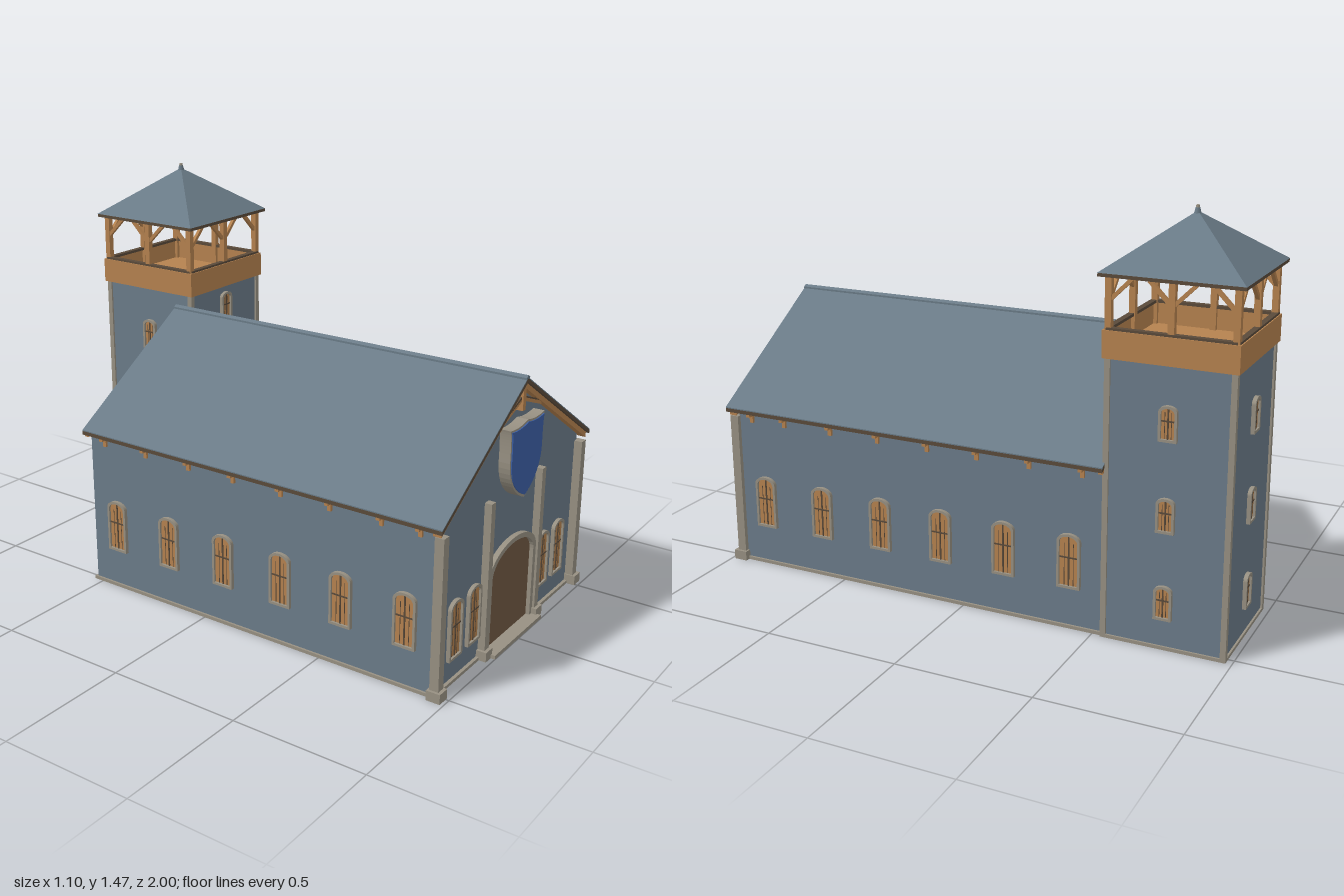
import * as THREE from 'three';

const mat = (name, color, side = THREE.FrontSide) => {
  const m = new THREE.MeshStandardMaterial({ color, side });
  m.name = name;
  return m;
};

export function createModel() {
  const wall = mat('blue grey plaster', 0x6b7b89);
  const slate = mat('slate', 0x6a7b87);
  const timber = mat('timber', 0xb5824f);
  const dark = mat('dark wood', 0x5a4a3a, THREE.DoubleSide);
  const stone = mat('stone', 0x979082);
  const doorWood = mat('door wood', 0x705843);
  const blue = mat('shield blue', 0x3c5fa4);

  const root = new THREE.Group();
  root.name = 'hallWithTower';

  const add = (parent, name, geo, material, x = 0, y = 0, z = 0) => {
    const m = new THREE.Mesh(geo, material);
    m.name = name;
    m.position.set(x, y, z);
    parent.add(m);
    return m;
  };
  // Box given by its minimum and maximum on each axis
  const box = (parent, name, material, x0, x1, y0, y1, z0, z1) =>
    add(parent, name, new THREE.BoxGeometry(Math.abs(x1 - x0), y1 - y0, z1 - z0), material,
      (x0 + x1) / 2, (y0 + y1) / 2, (z0 + z1) / 2);
  // Square beam between two points
  const beam = (parent, name, material, a, b, t) => {
    const p = new THREE.Vector3(...a), q = new THREE.Vector3(...b);
    const m = new THREE.Mesh(new THREE.BoxGeometry(t, t, p.distanceTo(q)), material);
    m.name = name;
    m.position.copy(p).lerp(q, 0.5);
    m.lookAt(q);
    parent.add(m);
  };
  const extrude = (shape, depth) =>
    new THREE.ExtrudeGeometry(shape, { depth, bevelEnabled: false, curveSegments: 10 });
  const polygon = pts => new THREE.Shape(pts.map(p => new THREE.Vector2(...p)));

  // Opening with a low arched top, standing on y = 0
  const arch = (w, h, rise, y0 = 0) => {
    const s = new THREE.Shape();
    s.moveTo(-w / 2, y0);
    s.lineTo(w / 2, y0);
    s.lineTo(w / 2, h - rise);
    s.absellipse(0, h - rise, w / 2, rise, 0, Math.PI, false);
    s.closePath();
    return s;
  };

  // Arched window with stone surround, shutters and bars
  const windowAt = (w, h, x, y, z, turn) => {
    const g = new THREE.Group();
    g.name = 'window';
    const f = 0.009, iw = w - 2 * f, rise = w * 0.33;
    const ring = arch(w, h, rise);
    ring.holes.push(arch(iw, h - f, rise - f / 2, f));
    add(g, 'windowSurround', extrude(ring, 0.014), stone);
    add(g, 'windowPanel', extrude(arch(iw, h - f, rise - f / 2, f), 0.006), timber);
    box(g, 'windowMullion', dark, -0.0025, 0.0025, f, h - f, 0.005, 0.009);
    box(g, 'windowBar', dark, -iw / 2, iw / 2, h * 0.55, h * 0.55 + 0.005, 0.005, 0.009);
    for (const s of [-1, 1])
      box(g, 'windowStile', dark, s * iw * 0.25 - 0.001, s * iw * 0.25 + 0.001, f, h * 0.82, 0.005, 0.007);
    g.position.set(x, y, z);
    g.rotation.y = turn;
    root.add(g);
  };

  // Hall walls and plinth
  const slope = 0.636, W = 0.515, back = -0.53, front = 0.945;
  add(root, 'hallWalls', extrude(polygon([[-W, 0], [W, 0], [W, 0.622], [0, 0.95], [-W, 0.622]]), front - back),
    wall, 0, 0, back);
  box(root, 'hallPlinth', stone, -0.523, 0.523, 0, 0.012, back - 0.008, front + 0.012);

  // Gabled layers following the roof pitch
  const gable = (name, material, top, thick, half, z0, z1) => {
    const e = top - half * slope;
    add(root, name, extrude(polygon([[-half, e - thick], [0, top - thick], [half, e - thick],
      [half, e], [0, top], [-half, e]]), z1 - z0), material, 0, 0, z0);
  };
  gable('roofBoards', dark, 0.965, 0.014, 0.551, -0.54, 0.979);
  gable('roofSlates', slate, 0.969, 0.004, 0.551, -0.54, 0.979);
  gable('frontBargeboard', timber, 0.952, 0.022, 0.54, 0.94, 0.97);
  gable('backBargeboard', timber, 0.952, 0.018, 0.54, -0.538, -0.52);
  gable('ridgeCap', slate, 0.976, 0.01, 0.012, -0.54, 0.979);

  // Rafter tails under both eaves
  for (const s of [-1, 1])
    for (const z of [0.885, 0.74, 0.54, 0.34, 0.137, -0.06, -0.26, -0.457]) {
      box(root, 'rafterTail', timber, s * 0.51, s * 0.545, 0.588, 0.608, z - 0.007, z + 0.007);
      box(root, 'eaveBracket', timber, s * 0.51, s * 0.525, 0.562, 0.61, z - 0.007, z + 0.007);
    }

  // Front piers with base blocks
  for (const s of [-1, 1]) {
    box(root, 'cornerPier', stone, s * 0.498, s * 0.531, 0, 0.58, 0.942, 0.976);
    box(root, 'cornerPierBase', stone, s * 0.493, s * 0.541, 0, 0.036, 0.935, 0.988);
    box(root, 'doorPier', stone, s * 0.177, s * 0.205, 0, 0.58, 0.94, 0.972);
    box(root, 'doorPierBase', stone, s * 0.17, s * 0.216, 0, 0.036, 0.94, 0.984);
  }

  // Door, stone arch and step
  const doorArch = arch(0.352, 0.383, 0.095);
  doorArch.holes.push(arch(0.312, 0.365, 0.085, 0.002));
  add(root, 'doorArch', extrude(doorArch, 0.022), stone, 0, 0, 0.942);
  add(root, 'door', extrude(arch(0.316, 0.367, 0.086), 0.006), doorWood, 0, 0, 0.943);
  box(root, 'doorStep', stone, -0.18, 0.18, 0, 0.014, 0.94, 1.0);

  // Gable truss
  box(root, 'trussPost', timber, -0.01, 0.01, 0.85, 0.945, 0.945, 0.97);
  for (const s of [-1, 1]) {
    beam(root, 'trussBrace', timber, [0, 0.89, 0.958], [s * 0.148, 0.835, 0.958], 0.012);
    beam(root, 'trussBraceCap', dark, [0, 0.898, 0.96], [s * 0.15, 0.842, 0.96], 0.008);
  }

  // Shield
  const shield = k => {
    const s = new THREE.Shape(), p = (x, y) => [x * k, 0.7 + (y - 0.7) * k];
    s.moveTo(...p(0, 0.54));
    s.quadraticCurveTo(...p(0.118, 0.59), ...p(0.12, 0.7));
    s.quadraticCurveTo(...p(0.117, 0.785), ...p(0.126, 0.817));
    s.quadraticCurveTo(...p(0.06, 0.806), ...p(0, 0.822));
    s.quadraticCurveTo(...p(-0.06, 0.806), ...p(-0.126, 0.817));
    s.quadraticCurveTo(...p(-0.117, 0.785), ...p(-0.12, 0.7));
    s.quadraticCurveTo(...p(-0.118, 0.59), ...p(0, 0.54));
    return s;
  };
  add(root, 'shieldRim', extrude(shield(1), 0.043), stone, 0, 0, 0.944);
  add(root, 'shieldFace', extrude(shield(0.94), 0.006), blue, 0, 0, 0.985);

  // Hall windows
  for (const x of [-0.387, -0.26, 0.26, 0.387]) windowAt(0.086, 0.215, x, 0.09, front, 0);
  for (let i = 0; i < 6; i++)
    for (const s of [-1, 1]) windowAt(0.086, 0.2, s * W, 0.152, 0.837 - i * 0.2495, s * Math.PI / 2);
  for (const x of [-0.345, -0.095]) windowAt(0.115, 0.225, x, 0.13, back, Math.PI);

  // Tower shaft, plinth and corner trims
  const cx = 0.308, cz = -0.755, r = 0.216;
  box(root, 'towerShaft', wall, cx - r, cx + r, 0, 0.995, cz - r, cz + r);
  box(root, 'towerPlinth', stone, cx - r - 0.007, cx + r + 0.007, 0, 0.012, cz - r - 0.007, cz + r + 0.007);
  for (const sx of [-1, 1])
    for (const sz of [-1, 1])
      add(root, 'towerCornerTrim', new THREE.BoxGeometry(0.02, 0.99, 0.02), stone,
        cx + sx * (r - 0.003), 0.495, cz + sz * (r - 0.003));

  // Tower windows; on the front only the top one clears the hall
  for (const y of [0.11, 0.42, 0.735]) {
    windowAt(0.064, 0.122, cx + r, y, cz, Math.PI / 2);
    windowAt(0.064, 0.122, cx - r, y, cz, -Math.PI / 2);
    windowAt(0.064, 0.122, cx, y, cz - r, Math.PI);
  }
  windowAt(0.064, 0.122, cx, 0.84, cz + r, 0);

  // Open belfry, one side built and turned four times
  const belfry = new THREE.Group();
  belfry.name = 'belfry';
  belfry.position.set(cx, 0, cz);
  root.add(belfry);
  const R = 0.23, P = 0.213, H = 0.243;
  box(belfry, 'belfryFloor', timber, -R + 0.01, R - 0.01, 0.988, 1.005, -R + 0.01, R - 0.01);
  box(belfry, 'floorHatch', dark, -0.035, 0.035, 1.004, 1.009, -0.035, 0.035);
  for (let i = 0; i < 4; i++) {
    const side = new THREE.Group();
    side.name = 'belfrySide';
    side.rotation.y = i * Math.PI / 2;
    belfry.add(side);
    box(side, 'parapet', timber, -R, R, 0.988, 1.082, R - 0.015, R);
    box(side, 'parapetRail', dark, -R + 0.012, R - 0.012, 1.08, 1.09, R - 0.025, R - 0.004);
    box(side, 'cornerPost', timber, P - 0.011, P + 0.011, 1.0, 1.258, P - 0.011, P + 0.011);
    box(side, 'middlePost', timber, -0.011, 0.011, 1.0, 1.258, P - 0.011, P + 0.011);
    for (const s of [-1, 1]) {
      beam(side, 'brace', timber, [s * 0.008, 1.184, P], [s * 0.078, 1.254, P], 0.013);
      beam(side, 'brace', timber, [s * (P - 0.008), 1.184, P], [s * (P - 0.078), 1.254, P], 0.013);
    }
    box(side, 'roofEdge', dark, -H, H, 1.257, 1.269, P - 0.014, H);
    beam(side, 'hipRafter', timber, [P, 1.262, P], [0, 1.412, 0], 0.014);
  }

  // Pyramid roof with boarded underside and finial
  const pyramid = (name, half, y, h, material) =>
    add(belfry, name, new THREE.ConeGeometry(half * Math.SQRT2, h, 4, 1, true)
      .rotateY(Math.PI / 4).toNonIndexed(), material, 0, y + h / 2, 0).geometry.computeVertexNormals();
  pyramid('towerRoof', H + 0.001, 1.269, 0.178, slate);
  pyramid('towerRoofLining', H - 0.006, 1.267, 0.17, dark);
  add(belfry, 'finialBase', new THREE.CylinderGeometry(0.008, 0.013, 0.022, 8), slate, 0, 1.447, 0);
  add(belfry, 'finialTip', new THREE.CylinderGeometry(0.006, 0.008, 0.012, 8), stone, 0, 1.46, 0);

  return root;
}
